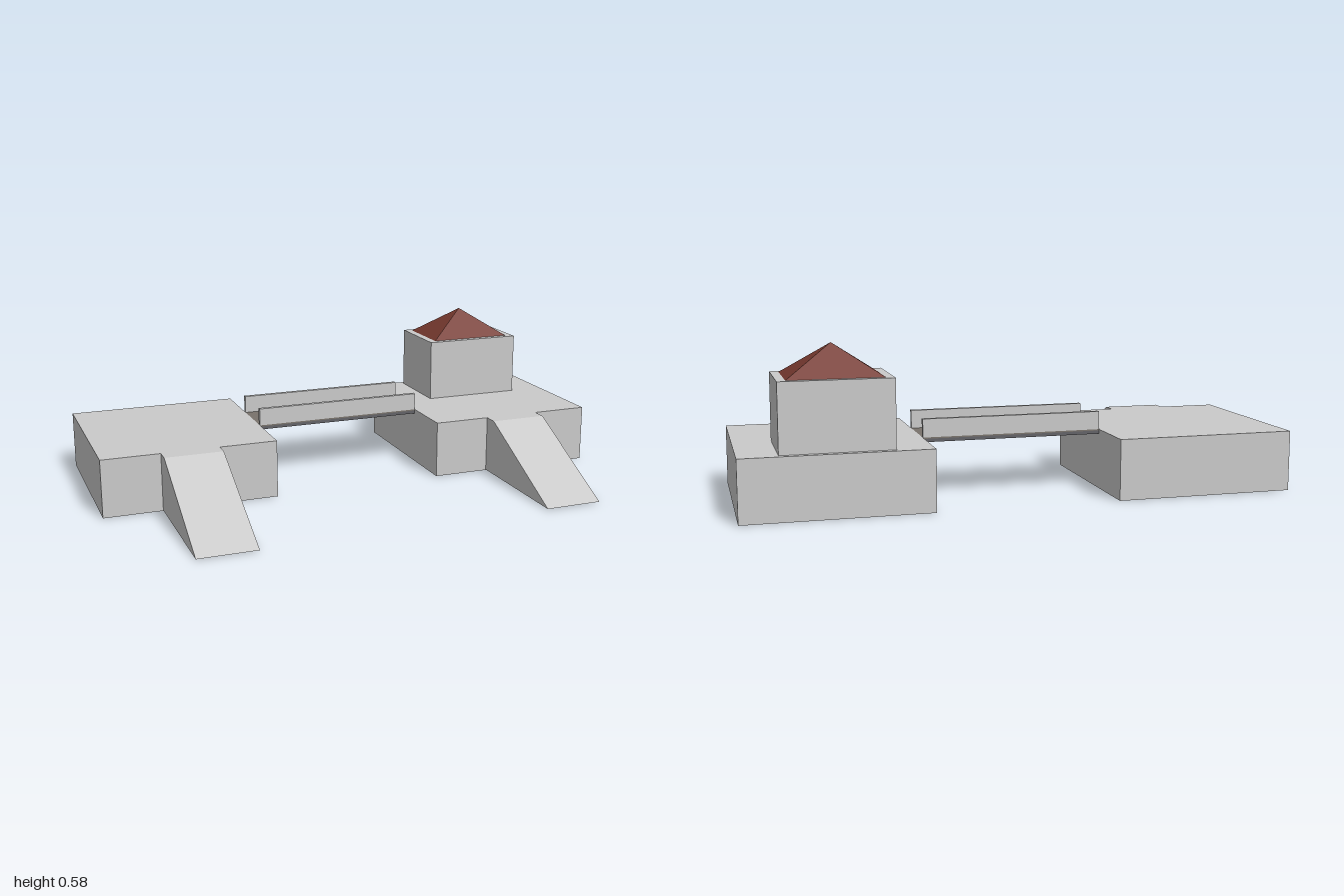
import * as THREE from 'three';

const material = (name, color) => {
  const m = new THREE.MeshStandardMaterial({ color });
  m.name = name;
  return m;
};

export function createModel() {
  const stone = material('pale stone', 0xcacaca);
  const planks = material('brown planks', 0x78726b);
  const dark = material('dark grey', 0x626267);
  const tile = material('red tile', 0x76392f);

  const model = new THREE.Group();
  model.name = 'bridgedPlatforms';

  const add = (name, geometry, mat) => {
    const mesh = new THREE.Mesh(geometry, mat);
    mesh.name = name;
    model.add(mesh);
    return mesh;
  };
  // Box given by its limits on each axis
  const block = (name, mat, [x0, x1], [y0, y1], [z0, z1]) =>
    add(name, new THREE.BoxGeometry(x1 - x0, y1 - y0, z1 - z0), mat)
      .position.set((x0 + x1) / 2, (y0 + y1) / 2, (z0 + z1) / 2);

  const top = 0.222, front = 0.083, back = -0.583, tip = 0.583;
  const rampWidth = 0.222;

  // Ramp side profile: x of the shape runs along -z
  const profile = new THREE.Shape();
  profile.moveTo(-tip, 0.002);
  profile.lineTo(-front, 0.002);
  profile.lineTo(-front, top);
  profile.lineTo(-0.139, top);
  profile.closePath();

  for (const side of [-1, 1]) {
    const label = side > 0 ? 'left' : 'right';
    const cx = side * 0.667;
    block(label + 'Platform', stone, [cx - 0.333, cx + 0.333], [0, top], [back, front]);

    const ramp = add(label + 'Ramp',
      new THREE.ExtrudeGeometry(profile, { depth: rampWidth, bevelEnabled: false }), stone);
    ramp.rotation.y = Math.PI / 2;
    ramp.position.x = cx - rampWidth / 2;

    // Dark underside of the ramp
    const under = add(label + 'RampUnderside',
      new THREE.PlaneGeometry(rampWidth, tip - front), dark);
    under.rotation.x = Math.PI / 2;
    under.position.set(cx, 0, (tip + front) / 2);
  }

  // Bridge: dark slab, planked walkway and two low walls
  const span = [-0.334, 0.334];
  block('bridgeSlab', dark, span, [0.205, 0.217], [-0.361, -0.139]);
  block('bridgeWalkway', planks, span, [0.217, top], [-0.361, -0.139]);
  block('bridgeFrontWall', stone, span, [top, 0.289], [-0.156, -0.139]);
  block('bridgeBackWall', stone, span, [top, 0.289], [-0.361, -0.344]);

  // Guard house on the left platform
  const houseTop = 0.467;
  block('house', stone, [0.467, 0.862], [top, houseTop], [-0.562, -0.273]);

  // Four-sided roof, set in from the edge of the walls
  const roofGeometry = new THREE.ConeGeometry(Math.SQRT1_2, 1, 4, 1, false, Math.PI / 4).toNonIndexed();
  roofGeometry.scale(0.335, 0.111, 0.243);
  roofGeometry.computeVertexNormals();
  add('roof', roofGeometry, tile).position.set(0.664, houseTop + 0.0555, -0.418);

  return model;
}
